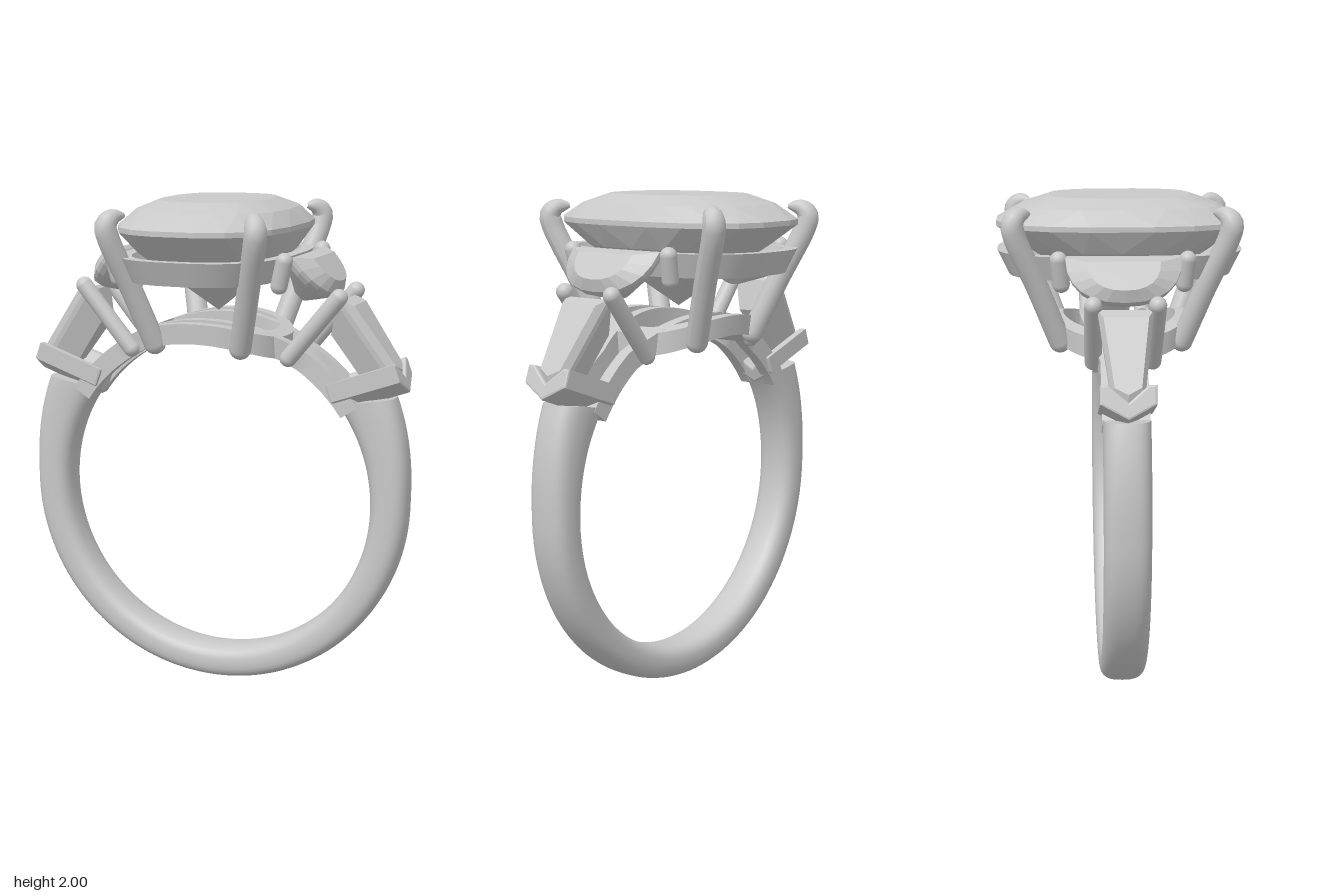
import * as THREE from 'three';
import { toCreasedNormals } from 'three/addons/utils/BufferGeometryUtils.js';

const V = (x, y, z) => new THREE.Vector3(x, y, z);
const rad = THREE.MathUtils.degToRad;
const INNER = 0.657, CY = 0.793; // finger hole radius and centre height
const spow = (v, e) => Math.sign(v) * Math.abs(v) ** e;

// Skin a list of equal-length closed rings; crease = 0 gives flat facets
function loft(rings, crease = 0) {
  const n = rings[0].length, pos = [], idx = [];
  rings.forEach(r => r.forEach(p => pos.push(p.x, p.y, p.z)));
  let volume = 0;
  const tri = (a, b, c) => {
    const [p, q, r] = [a, b, c].map(i => V(pos[3 * i], pos[3 * i + 1], pos[3 * i + 2]));
    if (q.clone().sub(p).cross(r.clone().sub(p)).length() < 1e-10) return;
    volume += p.dot(q.cross(r));
    idx.push(a, b, c);
  };
  for (let i = 0; i + 1 < rings.length; i++) for (let j = 0; j < n; j++) {
    const k = (j + 1) % n, a = i * n, b = a + n;
    tri(a + j, a + k, b + j);
    tri(a + k, b + k, b + j);
  }
  if (volume < 0) idx.reverse();
  const g = new THREE.BufferGeometry();
  g.setAttribute('position', new THREE.Float32BufferAttribute(pos, 3));
  g.setIndex(idx);
  if (crease) return toCreasedNormals(g, crease);
  const flat = g.toNonIndexed();
  flat.computeVertexNormals();
  return flat;
}

const centre = ring => ring.reduce((s, p) => s.add(p), V(0, 0, 0)).divideScalar(ring.length);
const capped = rings => {
  const end = r => r.map(() => centre(r));
  return [end(rings[0]), ...rings, end(rings[rings.length - 1])];
};

// Horizontal cushion outline; yAt may be a number or a function of x
function cushion(ax, az, yAt, n, power = 2.8, shift = 0) {
  return Array.from({ length: n }, (_, j) => {
    const t = (j + shift) / n * Math.PI * 2;
    const x = ax * spow(Math.cos(t), 2 / power), z = az * spow(Math.sin(t), 2 / power);
    return V(x, typeof yAt === 'function' ? yAt(x) : yAt, z);
  });
}

// Shank: rounded section swept round the finger, thicker at the shoulders
function bandGeometry() {
  const rings = [], steps = 96, m = 28;
  for (let i = 0; i <= steps; i++) {
    const ring = [];
    for (let j = 0; j < m; j++) {
      const t = j / m * Math.PI * 2;
      const f = 0.5 + 0.5 * spow(Math.cos(t), 0.75);
      const start = 31 + 7 * (1 - f);
      const a = rad(180 - start + (180 + 2 * start) * i / steps), s = Math.sin(a);
      const outer = s < 0 ? 0.795 + 0.013 * (1 + s) : 0.808 + 0.068 * (s / 0.55) ** 1.5;
      const r = INNER + (outer - INNER) * f;
      ring.push(V(r * Math.cos(a), CY + r * s, 0.09 * spow(Math.sin(t), 0.7)));
    }
    rings.push(ring);
  }
  return loft(capped(rings), 0.9);
}

// Open rail arching over the finger under the stones
function railGeometry(side) {
  const rings = [];
  for (let i = 0; i <= 40; i++) {
    const a = rad(34 + 112 * i / 40);
    const z = side * (0.065 + 0.07 * Math.max(0, Math.sin((i / 40 - 0.2) / 0.6 * Math.PI)));
    rings.push([[INNER, -1], [0.737, -1], [0.737, 1], [INNER, 1]].map(([r, w]) =>
      V(r * Math.cos(a), CY + r * Math.sin(a), z + w * 0.025)));
  }
  return loft(capped(rings), 0.6);
}

// Cut stone lying on a sloped plane: outline of [u, z], levels of [scale, height]
function slopedStone(origin, angle, outline, levels) {
  const d = V(Math.cos(angle), -Math.sin(angle), 0), n = V(Math.sin(angle), Math.cos(angle), 0);
  const mid = outline.reduce((s, p) => s + p[0], 0) / outline.length;
  return loft(capped(levels.map(([s, w]) => outline.map(([u, z]) =>
    origin.clone().addScaledVector(d, mid + (u - mid) * s).addScaledVector(n, w).add(V(0, 0, z * s))))));
}

// Claw that bends over the stone and narrows to its tip
function clawGeometry(points, r) {
  const curve = new THREE.CatmullRomCurve3(points);
  const g = new THREE.TubeGeometry(curve, 40, r, 16);
  const p = g.attributes.position, uv = g.attributes.uv, v = V(0, 0, 0);
  for (let i = 0; i < p.count; i++) {
    const u = uv.getX(i), k = Math.max(0, (u - 0.82) / 0.18);
    v.fromBufferAttribute(p, i).lerp(curve.getPointAt(u), k * k * 0.8);
    p.setXYZ(i, v.x, v.y, v.z);
  }
  g.computeVertexNormals();
  return g;
}

export function createModel() {
  const model = new THREE.Group();
  model.name = 'threeStoneRing';
  const grey = new THREE.MeshStandardMaterial({ color: 0xc8c8c8 });
  grey.name = 'silver grey';
  const add = (parent, name, geometry) => {
    const m = new THREE.Mesh(geometry, grey);
    m.name = name;
    parent.add(m);
    return m;
  };
  const rod = (parent, name, a, b, r) => {
    const dir = b.clone().sub(a);
    const m = add(parent, name, new THREE.CapsuleGeometry(r, dir.length(), 8, 16));
    m.position.copy(a).addScaledVector(dir, 0.5);
    m.quaternion.setFromUnitVectors(V(0, 1, 0), dir.normalize());
  };

  add(model, 'band', bandGeometry());
  for (const s of [-1, 1]) add(model, 'shoulderRail', railGeometry(s));

  // Setting rails: upper cushion ring, and lower oval bent to the finger
  const upper = [[0.305, 0.44, 1.695], [0.34, 0.485, 1.79], [0.29, 0.435, 1.79], [0.255, 0.39, 1.695]];
  add(model, 'upperGalleryRail', loft([...upper, upper[0]].map(([x, z, y]) => cushion(x, z, y, 72)), 0.6));
  const arch = r => x => CY + Math.sqrt(r * r - x * x);
  const lower = [[0.3, 0.275, INNER], [0.3, 0.28, 0.737], [0.245, 0.225, 0.737], [0.245, 0.22, INNER]];
  add(model, 'lowerGalleryRail', loft([...lower, lower[0]].map(([x, z, r]) => cushion(x, z, arch(r), 72, 2.3)), 0.6));

  // Centre stone: culet, pavilion, girdle, crown, table
  const cuts = [[0, 0, 1.55, 0], [0.29, 0.36, 1.795, 0], [0.345, 0.49, 1.885, 0.5], [0.345, 0.49, 1.905, 0.5],
    [0.295, 0.39, 1.963, 1], [0.21, 0.28, 2, 1.5], [0, 0, 2, 1.5]];
  add(model, 'centreStone', loft(cuts.map(([x, z, y, shift]) => cushion(x, z, y, 20, 2.7, shift))));

  // Four claws holding the centre stone
  for (const sx of [-1, 1]) for (const sz of [-1, 1]) {
    const pts = [[0.18, 1.44, 0.24], [0.24, 1.66, 0.325], [0.298, 1.87, 0.412], [0.303, 1.915, 0.418],
      [0.287, 1.943, 0.395], [0.255, 1.95, 0.355]].map(([x, y, z]) => V(sx * x, y, sz * z));
    add(model, 'claw', clawGeometry(pts, 0.044));
    add(model, 'clawFoot', new THREE.SphereGeometry(0.044, 16, 12)).position.copy(pts[0]);
  }

  // One shoulder, repeated by a half turn
  const moon = Array.from({ length: 13 }, (_, j) => {
    const t = (j / 12 - 0.5) * Math.PI;
    return [0.2 * Math.max(0, Math.cos(t)) ** 0.85, 0.22 * spow(Math.sin(t), 0.85)];
  });
  const taper = [[0, -0.105], [0.35, -0.062], [0.385, 0], [0.35, 0.062], [0, 0.105]];
  for (const turn of [0, Math.PI]) {
    const shoulder = new THREE.Group();
    shoulder.name = turn ? 'rightShoulder' : 'leftShoulder';
    shoulder.rotation.y = turn;
    model.add(shoulder);
    add(shoulder, 'halfMoonStone', slopedStone(V(0.365, 1.785, 0), rad(50), moon,
      [[0.25, -0.11], [0.95, -0.015], [1, 0.005], [1, 0.02], [0.62, 0.06]]));
    add(shoulder, 'taperedStone', slopedStone(V(0.55, 1.63, 0), rad(55), taper,
      [[0.6, -0.13], [1, -0.03], [1, -0.01], [0.8, 0.02]]));
    for (const s of [-1, 1]) {
      rod(shoulder, 'innerProng', V(0.335, 1.69, s * 0.235), V(0.358, 1.785, s * 0.245), 0.033);
      rod(shoulder, 'middleProng', V(0.335, 1.39, s * 0.115), V(0.54, 1.64, s * 0.12), 0.034);
    }
    // V-shaped end bar between stone and band
    const chevron = new THREE.Shape([[0, 0], [0.1, 0.055], [0.1, 0.12], [0.075, 0.12], [0, 0.055],
      [-0.075, 0.12], [-0.1, 0.12], [-0.1, 0.055]].map(([x, y]) => new THREE.Vector2(x, y)));
    const bar = new THREE.ExtrudeGeometry(chevron, { depth: 0.28, bevelSize: 0.008, bevelThickness: 0.008,
      bevelSegments: 2, bevelOffset: -0.004 });
    bar.applyMatrix4(new THREE.Matrix4().makeBasis(V(0, 0, -1), V(-0.336, 0.942, 0), V(0.942, 0.336, 0)));
    add(shoulder, 'endBar', bar).position.set(0.53, 1.175, 0);
  }
  return model;
}
